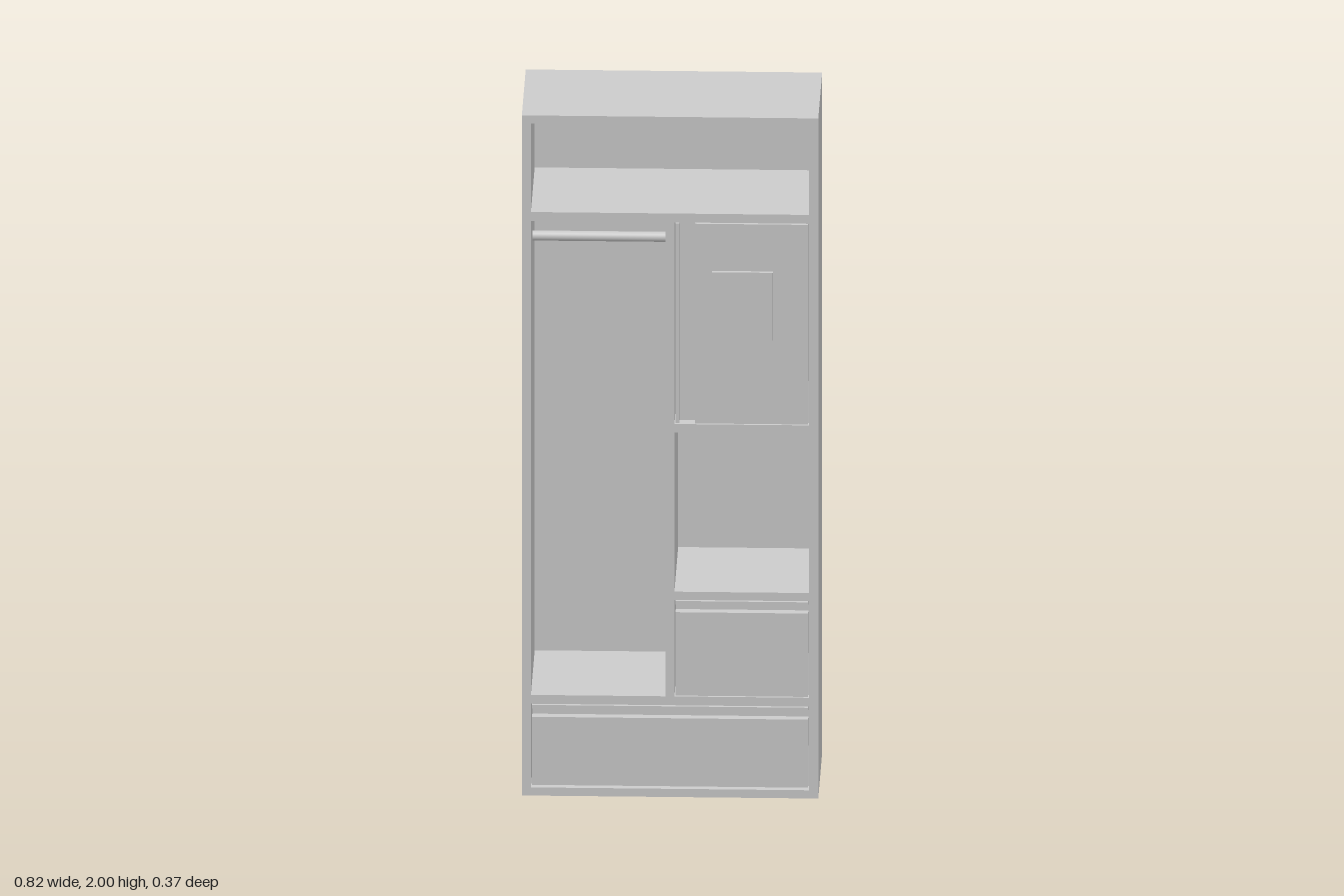
import * as THREE from 'three';

const material = new THREE.MeshStandardMaterial({ color: 0xcccccc });

// Outer size, board thickness and key planes
const W = 0.408, H = 2, T = 0.025;
const BACK = -0.186, INNER_BACK = -0.176, FRONT = 0.172;
const INNER = W - T, DIV = 0.012;

// Box given by its limits on each axis
function box(parent, name, [x0, x1], [y0, y1], [z0, z1]) {
  const mesh = new THREE.Mesh(new THREE.BoxGeometry(x1 - x0, y1 - y0, z1 - z0), material);
  mesh.position.set((x0 + x1) / 2, (y0 + y1) / 2, (z0 + z1) / 2);
  mesh.name = name;
  parent.add(mesh);
  return mesh;
}

// Closed front with a recessed finger groove running between a thin lip and the main panel
function groovedFront(name, [x0, x1], [y0, y1], vertical, lip, groove) {
  const group = new THREE.Group();
  group.name = name;
  const face = FRONT + 0.001, floor = face - 0.025, rear = floor - 0.015;
  const z = [floor, face];
  box(group, 'grooveFloor', [x0, x1], [y0, y1], [rear, floor]);
  if (vertical) {
    box(group, 'lip', [x0, x0 + lip], [y0, y1], z);
    box(group, 'panel', [x0 + lip + groove, x1], [y0, y1], z);
  } else {
    box(group, 'lip', [x0, x1], [y1 - lip, y1], z);
    box(group, 'panel', [x0, x1], [y0, y1 - lip - groove], z);
  }
  return group;
}

export function createModel() {
  const model = new THREE.Group();
  model.name = 'wardrobe';
  const depth = [INNER_BACK, FRONT];

  // Carcass
  for (const [name, s] of [['leftSide', 1], ['rightSide', -1]]) {
    const x = s > 0 ? [INNER, W] : [-W, -INNER];
    box(model, name, x, [0, H], [BACK, FRONT]);
  }
  box(model, 'backPanel', [-INNER, INNER], [0, H], [BACK, INNER_BACK]);

  // Full-width boards, then the divider and the shelves of the narrow column
  const boards = [['base', 0, 0.024], ['lowerShelf', 0.27, 0.296], ['upperShelf', 1.716, 1.69], ['top', 1.976, H]];
  for (const [name, a, b] of boards) {
    box(model, name, [-INNER, INNER], [Math.min(a, b), Math.max(a, b)], depth);
  }
  box(model, 'divider', [-DIV, DIV], [0.296, 1.69], depth);
  box(model, 'drawerShelf', [DIV, INNER], [0.58, 0.604], depth);
  box(model, 'nicheTop', [DIV, INNER], [1.072, 1.097], depth);

  // Hanging rail
  const rail = new THREE.Mesh(new THREE.CylinderGeometry(0.014, 0.014, INNER - DIV, 24), material);
  rail.rotation.z = Math.PI / 2;
  rail.position.set(-(INNER + DIV) / 2, 1.588, 0.015);
  rail.name = 'hangingRail';
  model.add(rail);

  // Door and drawers, set in with a narrow gap
  const gap = 0.003;
  const column = [DIV + gap, INNER - gap];
  model.add(groovedFront('door', column, [1.1, 1.687], true, 0.011, 0.043));
  model.add(groovedFront('smallDrawer', column, [0.299, 0.577], false, 0.011, 0.022));
  model.add(groovedFront('wideDrawer', [-INNER + gap, INNER - gap], [0.032, 0.267], false, 0.011, 0.024));

  // Raised plate on the door
  box(model, 'doorPlate', [0.116, 0.283], [1.35, 1.549], [FRONT, 0.184]);

  return model;
}
